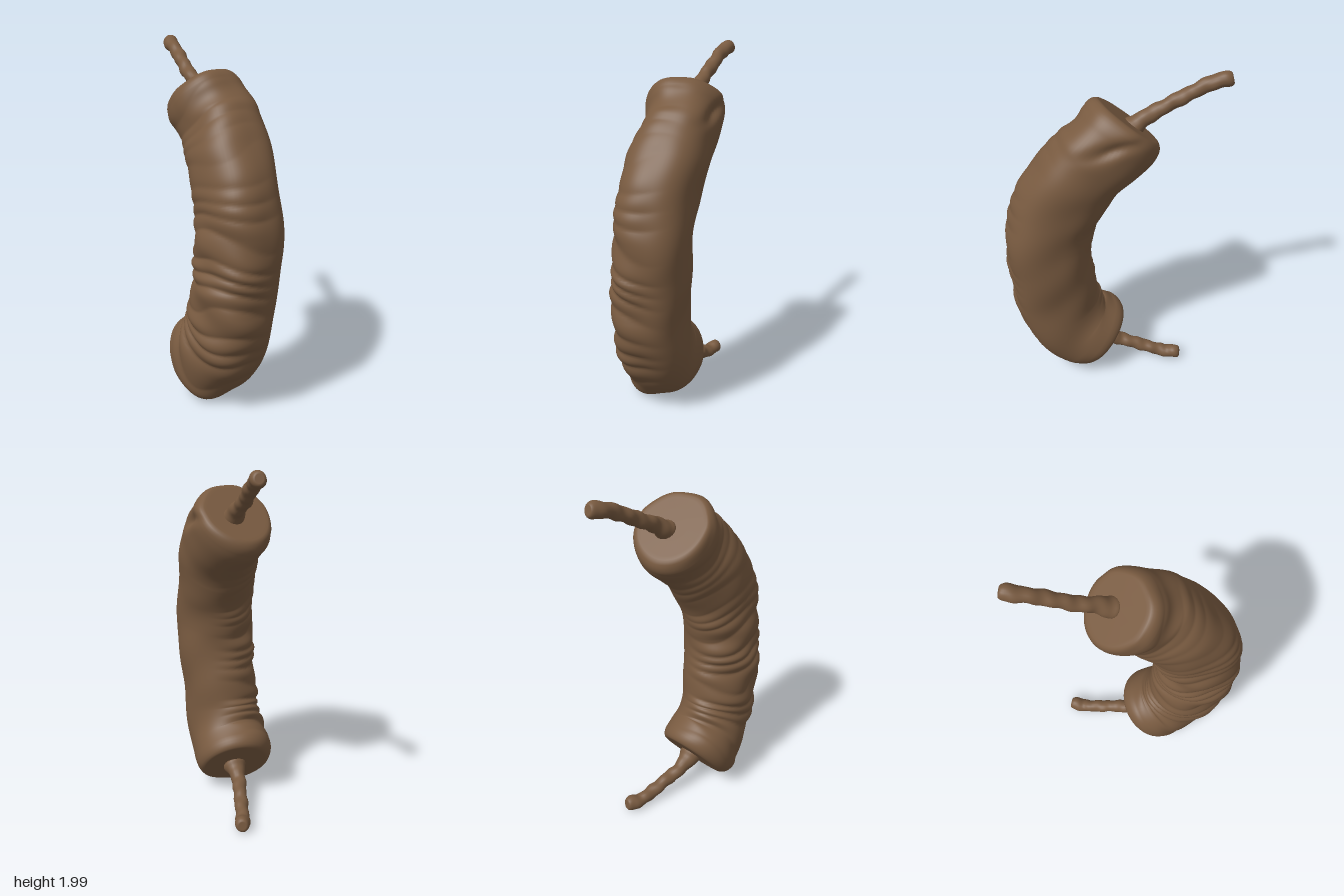
import * as THREE from 'three';

const bark = new THREE.MeshStandardMaterial({ color: 0x785a40 });
bark.name = 'brown bark';

const V = (p) => new THREE.Vector3(...p);
const gauss = (x, c, w) => Math.exp(-(((x - c) / w) ** 2));
const ease = THREE.MathUtils.smoothstep;

// Sweeps a closed skin along a curve. rows: [t, scale]; radius(t, angle) gives the section.
function sweep(name, points, rows, sides, radius) {
  const curve = new THREE.CatmullRomCurve3(points.map(V), false, 'centripetal');
  const side = new THREE.Vector3(1, 0, -1).normalize();
  const pos = [], index = [];
  rows.forEach(([t, scale], i) => {
    const c = curve.getPointAt(t), T = curve.getTangentAt(t);
    const N = side.clone().addScaledVector(T, -side.dot(T)).normalize();
    const B = T.clone().cross(N);
    for (let j = 0; j < sides; j++) {
      const a = (j / sides) * Math.PI * 2, r = radius(t, a) * scale;
      const p = c.clone().addScaledVector(N, r * Math.cos(a)).addScaledVector(B, r * Math.sin(a));
      pos.push(p.x, p.y, p.z);
      if (i === 0) continue;
      const k = (j + 1) % sides, lo = (i - 1) * sides, hi = i * sides;
      index.push(lo + j, lo + k, hi + k, lo + j, hi + k, hi + j);
    }
  });
  const g = new THREE.BufferGeometry();
  g.setAttribute('position', new THREE.Float32BufferAttribute(pos, 3));
  g.setIndex(index);
  g.computeVertexNormals();
  const mesh = new THREE.Mesh(g, bark);
  mesh.name = name;
  return mesh;
}

// Rows with flat end caps and a rounded rim of length e (in t) and depth d (in scale)
function cappedRows(n, e, d) {
  const rim = [];
  for (let i = 0; i <= 5; i++) {
    const q = (i / 5) * Math.PI / 2;
    rim.push([e * (1 - Math.cos(q)), 1 - d + d * Math.sin(q)]);
  }
  const start = [[0, 0], [0, (1 - d) * 0.5], [0, (1 - d) * 0.9], ...rim];
  const rows = [...start];
  for (let i = 1; i < n; i++) rows.push([e + (1 - 2 * e) * (i / n), 1]);
  return rows.concat(start.map(([t, s]) => [1 - t, s]).reverse());
}

// Body section: oval, squarer on the outer side, wrinkled on one flank, lipped at both ends
function bodyRadius(t, a) {
  const c = Math.cos(a), s = Math.sin(a);
  const n = 2.25 - 0.3 * s;
  const depth = s > 0 ? 0.252 : 0.24;
  let r = (Math.abs(c / 0.21) ** n + Math.abs(s / depth) ** n) ** (-1 / n);
  const flank = ease(-c, -0.6, 0.5), outer = ease(-s, 0, 0.9);
  const fade = ease(t, 0.02, 0.1) * (1 - 0.75 * ease(t, 0.4, 0.75));
  const phase = t * 70 + 1.3 * Math.sin(2 * a + t * 9) + 1.1 * Math.sin(t * 31);
  const fold = Math.abs(Math.sin(phase / 1.15)) - 0.6;
  r += flank * fade * (0.015 * fold + 0.006 * Math.sin(t * 47 + 3 * a));
  r += 0.004 * Math.sin(t * 19 + 2 * a) + 0.003 * Math.sin(t * 33 - 3 * a);
  // rolled lip at the lower end, collar and neck at the upper end
  r += 0.03 * ease(-c, -0.2, 0.7) * gauss(t, 0.04, 0.05);
  r += 0.012 * gauss(t, 0.95, 0.04) - 0.01 * gauss(t, 0.84, 0.05);
  // both ends step in along the outer side
  r -= outer * (0.045 * ease(t, 0.85, 0.94) + 0.03 * (1 - ease(t, 0, 0.07)));
  // pinched crease below the upper rim
  const twist = a + 0.35 - (t - 0.92) * 7;
  const crease = Math.atan2(Math.sin(twist), Math.cos(twist));
  return r - 0.03 * gauss(crease, 0, 0.2) * gauss(t, 0.92, 0.05);
}

// Thin lumpy twisted stalk, flared where it leaves the body
const stalkRadius = (flare) => (t, a) =>
  0.038 + flare * Math.exp(-t * 10) + 0.002 * Math.sin(t * 24 + 2 * a) +
  0.002 * Math.sin(t * 41 - a) + 0.004 * gauss(t, 0.92, 0.09);

export function createModel() {
  const group = new THREE.Group();
  group.name = 'curvedPod';
  group.add(sweep('body', [
    [-0.06, 0.18, 0.062], [0.022, 0.305, 0.2], [0.077, 0.46, 0.268], [0.107, 0.65, 0.296],
    [0.131, 0.85, 0.303], [0.137, 1.02, 0.298], [0.115, 1.22, 0.255], [0.067, 1.41, 0.158],
    [0, 1.58, 0.03], [-0.102, 1.742, -0.06],
  ], cappedRows(190, 0.03, 0.16), 72, bodyRadius));

  group.add(sweep('upperStalk', [
    [-0.095, 1.695, -0.09], [-0.145, 1.76, -0.165], [-0.2, 1.81, -0.24],
    [-0.26, 1.88, -0.35], [-0.315, 1.935, -0.445], [-0.358, 1.963, -0.538],
  ], cappedRows(60, 0.05, 0.4), 20, stalkRadius(0.03)));

  group.add(sweep('lowerStalk', [
    [-0.065, 0.19, 0.06], [-0.12, 0.135, -0.03], [-0.155, 0.105, -0.12],
    [-0.195, 0.07, -0.22], [-0.228, 0.047, -0.31], [-0.252, 0.057, -0.397],
  ], cappedRows(60, 0.05, 0.4), 20, stalkRadius(0.04)));
  return group;
}
